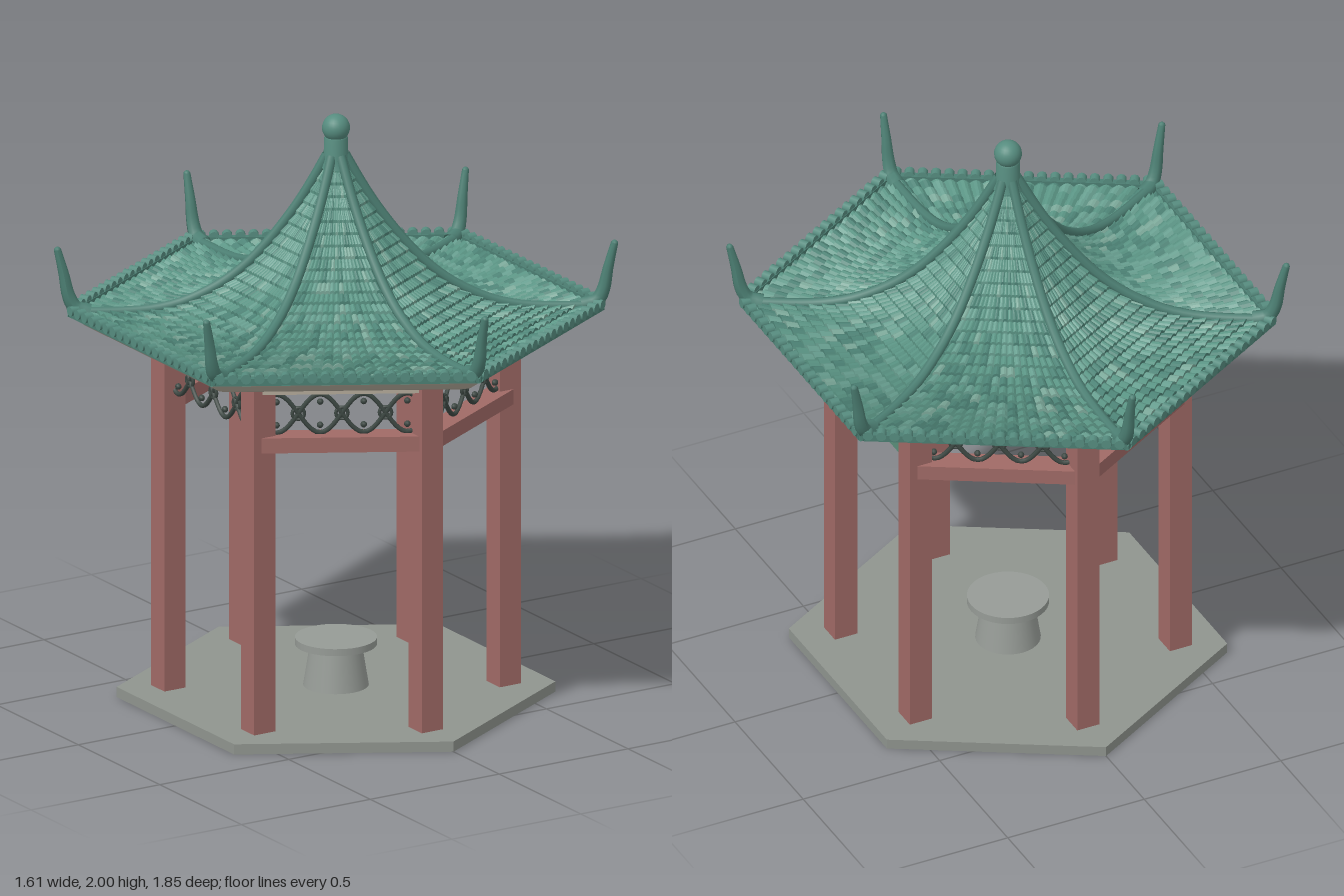
import * as THREE from 'three';

const SIDE = Math.PI / 3;
const V2 = (x, y) => new THREE.Vector2(x, y);
const V3 = (x, y, z) => new THREE.Vector3(x, y, z);
const mat = (color, flatShading = true) =>
  new THREE.MeshStandardMaterial({ color, flatShading, side: THREE.DoubleSide });

const stone = mat(0x8f948e), wood = mat(0xa06a66), plaster = mat(0xb3aa9a);
const iron = mat(0x3d4843, false), signGreen = mat(0x5a8f7a);
const glaze = mat(0x568c7f, false), ridgeGreen = mat(0x4c7f73, false);
const tileShades = [mat(0x5a9484), mat(0x689f90), mat(0x4d8376), mat(0x7ba899)];

// Roof section along a corner ridge: x is distance from the axis, y is height
const roofCurve = new THREE.SplineCurve([
  V2(0.03, 1.85), V2(0.115, 1.70), V2(0.23, 1.545), V2(0.35, 1.43),
  V2(0.5, 1.35), V2(0.65, 1.32), V2(0.88, 1.318),
]);

function add(parent, name, geometry, material, x = 0, y = 0, z = 0) {
  const m = new THREE.Mesh(geometry, material);
  m.name = name;
  m.position.set(x, y, z);
  parent.add(m);
  return m;
}

// Tube that narrows from r0 to r1 along its path
function taperedTube(path, r0, r1, steps = 14, sides = 8) {
  const g = new THREE.TubeGeometry(path, steps, 1, sides, false);
  const p = g.attributes.position, v = V3(0, 0, 0);
  for (let i = 0; i < p.count; i++) {
    const t = Math.floor(i / (sides + 1)) / steps;
    const c = path.getPointAt(t);
    v.fromBufferAttribute(p, i).sub(c).multiplyScalar(r0 + (r1 - r0) * t).add(c);
    p.setXYZ(i, v.x, v.y, v.z);
  }
  g.computeVertexNormals();
  return g;
}

// Overlapping arched tiles on all six slopes, sorted into shades
function buildTiles(roof) {
  const ROWS = 25, COLS = 20, ARC = 4;
  const buckets = tileShades.map(() => []);
  let seed = 7;
  const rand = () => (seed = (seed * 16807) % 2147483647) / 2147483647;
  const quad = (out, a, b, c, d) => [a, b, c, a, c, d].forEach((p) => out.push(p.x, p.y, p.z));
  for (let f = 0; f < 6; f++) {
    const d0 = V3(Math.sin(f * SIDE), 0, Math.cos(f * SIDE));
    const d1 = V3(Math.sin((f + 1) * SIDE), 0, Math.cos((f + 1) * SIDE));
    const at = (p, s, lift) => {
      const v = d0.clone().lerp(d1, s).multiplyScalar(p.x);
      v.y = p.y + lift;
      return v;
    };
    for (let i = 0; i < ROWS; i++) {
      const top = roofCurve.getPointAt(i / ROWS), low = roofCurve.getPointAt((i + 1) / ROWS);
      for (let j = 0; j < COLS; j++) {
        const r = rand();
        const out = buckets[r < 0.45 ? 0 : r < 0.7 ? 1 : r < 0.93 ? 2 : 3];
        const row = [];
        for (let k = 0; k <= ARC; k++) {
          const s = (j + k / ARC) / COLS, arch = 0.3 * Math.sin((Math.PI * k) / ARC) / COLS;
          row.push([at(top, s, arch * top.x), at(low, s, 0.01 + arch * low.x), at(low, s, -0.002)]);
        }
        for (let k = 0; k < ARC; k++) {
          const [a, b, c] = row[k], [a2, b2, c2] = row[k + 1];
          quad(out, a, b, b2, a2);
          quad(out, b, c, c2, b2);
        }
      }
    }
  }
  buckets.forEach((data, i) => {
    const g = new THREE.BufferGeometry();
    g.setAttribute('position', new THREE.Float32BufferAttribute(data, 3));
    g.computeVertexNormals();
    add(roof, 'roofTiles' + (i + 1), g, tileShades[i]);
  });
}

// Fretwork of two crossing waves with rings where they meet
function buildLattice() {
  const g = new THREE.Group();
  g.name = 'lattice';
  const pitch = 0.143, half = 0.25;
  for (const sign of [1, -1]) {
    const pts = [];
    for (let i = 0; i <= 36; i++) {
      const x = -half + (2 * half * i) / 36;
      pts.push(V3(x, 1.125 + sign * 0.066 * Math.cos((Math.PI * (x - pitch / 2)) / pitch), 0));
    }
    add(g, 'latticeWave', new THREE.TubeGeometry(new THREE.CatmullRomCurve3(pts), 48, 0.008, 6), iron);
  }
  for (let i = -1; i <= 1; i++) {
    add(g, 'latticeRing', new THREE.TorusGeometry(0.02, 0.006, 6, 14), iron, i * pitch, 1.125, 0);
  }
  for (let i = -1.5; i <= 1.5; i++) {
    for (const y of [1.085, 1.165]) {
      add(g, 'latticeBead', new THREE.SphereGeometry(0.011, 8, 6), iron, i * pitch, y, 0);
    }
  }
  return g;
}

export function createModel() {
  const model = new THREE.Group();
  model.name = 'pavilion';

  // Floor slab and stone table
  add(model, 'floor', new THREE.CylinderGeometry(0.72, 0.72, 0.035, 6), stone, 0, 0.0175, 0);
  const smoothStone = mat(0x969b96, false);
  add(model, 'tablePedestal', new THREE.CylinderGeometry(0.085, 0.108, 0.142, 32), smoothStone, 0, 0.105, 0);
  add(model, 'tableTop', new THREE.CylinderGeometry(0.135, 0.135, 0.024, 40), smoothStone, 0, 0.187, 0);

  // Posts, square to the axes
  for (let i = 0; i < 6; i++) {
    add(model, 'post', new THREE.BoxGeometry(0.082, 1.225, 0.082), wood,
      0.55 * Math.sin(i * SIDE), 0.645, 0.55 * Math.cos(i * SIDE));
  }

  // Beams and fretwork on each side; the two entrance sides have no lower beam
  for (let i = 0; i < 6; i++) {
    const bay = new THREE.Group();
    bay.name = 'bay';
    const a = (i + 0.5) * SIDE, d = 0.476;
    bay.position.set(d * Math.sin(a), 0, d * Math.cos(a));
    bay.rotation.y = a;
    add(bay, 'upperBeam', new THREE.BoxGeometry(0.54, 0.055, 0.08), plaster, 0, 1.23, 0);
    if (i % 3 !== 1) add(bay, 'lowerBeam', new THREE.BoxGeometry(0.53, 0.052, 0.085), wood, 0, 1.028, 0);
    bay.add(buildLattice());
    if (i === 1) add(bay, 'signBoard', new THREE.BoxGeometry(0.472, 0.112, 0.02), signGreen, 0, 1.115, 0.026);
    model.add(bay);
  }

  const roof = new THREE.Group();
  roof.name = 'roof';
  model.add(roof);

  // Curved eave underside running into the raised ceiling
  add(roof, 'soffit', new THREE.LatheGeometry([
    V2(0.87, 1.325), V2(0.855, 1.305), V2(0.82, 1.28), V2(0.765, 1.262), V2(0.7, 1.252),
    V2(0.5, 1.25), V2(0.44, 1.27), V2(0.3, 1.36), V2(0.001, 1.52)], 6), plaster);

  // Solid slope beneath the tiles
  const under = roofCurve.getSpacedPoints(20).map((p) => V2(p.x, p.y - 0.004));
  add(roof, 'roofSlope', new THREE.LatheGeometry(under, 6), tileShades[2]);
  buildTiles(roof);

  // Corner ridges with upturned horns
  const ridgePath = new THREE.CatmullRomCurve3(
    roofCurve.getSpacedPoints(12).map((p) => V3(0, p.y + 0.012, p.x)));
  const hornPath = new THREE.CatmullRomCurve3([
    V3(0, 1.33, 0.81), V3(0, 1.345, 0.855), V3(0, 1.385, 0.877), V3(0, 1.46, 0.893), V3(0, 1.545, 0.914)]);
  const ridgeGeo = new THREE.TubeGeometry(ridgePath, 32, 0.017, 8);
  const hornGeo = taperedTube(hornPath, 0.028, 0.012);
  for (let i = 0; i < 6; i++) {
    const corner = new THREE.Group();
    corner.name = 'roofCorner';
    corner.rotation.y = i * SIDE;
    add(corner, 'ridge', ridgeGeo, ridgeGreen);
    add(corner, 'horn', hornGeo, ridgeGreen);
    add(corner, 'hornTip', new THREE.SphereGeometry(0.012, 8, 6), ridgeGreen, 0, 1.543, 0.914);
    roof.add(corner);
  }

  // Eave rail with a row of round tile ends
  const capGeo = new THREE.CylinderGeometry(0.017, 0.017, 0.03, 10).rotateX(Math.PI / 2);
  for (let i = 0; i < 6; i++) {
    const eave = new THREE.Group();
    eave.name = 'eave';
    eave.rotation.y = (i + 0.5) * SIDE;
    add(eave, 'eaveRail', new THREE.BoxGeometry(0.87, 0.024, 0.024), ridgeGreen, 0, 1.327, 0.752);
    for (let k = 0; k < 20; k++) {
      add(eave, 'tileEnd', capGeo, glaze, (k - 9.5) * 0.0435, 1.34, 0.757);
    }
    roof.add(eave);
  }

  // Finial
  add(roof, 'finial', new THREE.LatheGeometry([
    V2(0.05, 1.82), V2(0.041, 1.85), V2(0.039, 1.92), V2(0.03, 1.925)], 20), glaze);
  add(roof, 'finialBall', new THREE.SphereGeometry(0.046, 24, 16), glaze, 0, 1.954, 0);

  return model;
}
